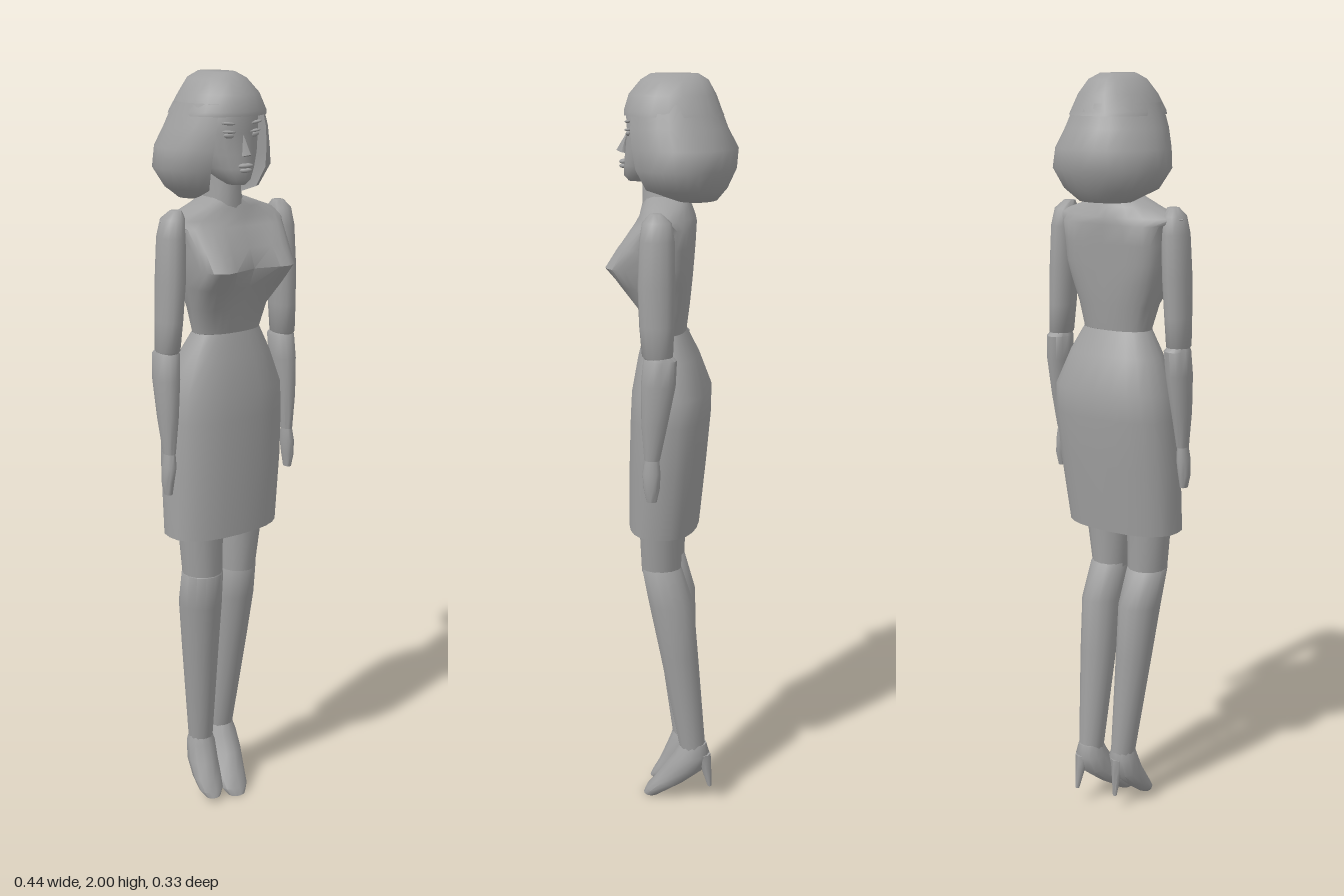
import * as THREE from 'three';
import { toCreasedNormals } from 'three/addons/utils/BufferGeometryUtils.js';

const grey = new THREE.MeshStandardMaterial({ color: 0xa0a0a0, side: THREE.DoubleSide });
grey.name = 'plain grey';

// Skin a stack of horizontal cross-sections, listed from top to bottom.
// Section: [y, xMin, xMax, zBack, zFront, squareness = 2, bulge = 0]
// gap(i) leaves an opening at the front; its edges turn inwards.
function loft(name, rows, { seg = 14, top = true, bottom = true, gap = null, crease = 0.9 } = {}) {
  const pos = [], idx = [], count = seg + 1;
  rows.forEach(([y, x0, x1, zb, zf, n = 2, bulge = 0], i) => {
    const cx = (x0 + x1) / 2, cz = (zb + zf) / 2, rx = (x1 - x0) / 2, rz = (zf - zb) / 2;
    const g = gap ? gap(i) : 0;
    for (let j = 0; j <= seg; j++) {
      const inner = gap && (j === 0 || j === seg);
      const k = gap ? Math.min(Math.max((j - 1) / (seg - 2), 0), 1) : j / seg;
      const a = g + k * (Math.PI * 2 - 2 * g);
      const s = Math.sin(a), c = Math.cos(a);
      let x = rx * Math.sign(s) * Math.abs(s) ** (2 / n);
      let z = rz * Math.sign(c) * Math.abs(c) ** (2 / n);
      if (c > 0.1) z += bulge * Math.max(0, 1 - Math.abs(Math.abs(x) - 0.1) / 0.1);
      if (inner) { x *= 0.85; z -= 0.04; }
      pos.push(cx + x, y, cz + z);
    }
  });
  for (let i = 0; i < rows.length - 1; i++) {
    for (let j = 0; j < seg; j++) {
      const a = i * count + j, b = a + 1, c = a + count, d = c + 1;
      idx.push(a, c, b, b, c, d);
    }
  }
  const cap = (i, up) => {
    const [y, x0, x1, zb, zf] = rows[i], m = pos.length / 3;
    pos.push((x0 + x1) / 2, y, (zb + zf) / 2);
    for (let j = 0; j < seg; j++) {
      const a = i * count + j;
      idx.push(m, up ? a : a + 1, up ? a + 1 : a);
    }
  };
  if (top) cap(0, true);
  if (bottom) cap(rows.length - 1, false);
  const geo = new THREE.BufferGeometry();
  geo.setAttribute('position', new THREE.Float32BufferAttribute(pos, 3));
  geo.setIndex(idx);
  return named(name, toCreasedNormals(geo, crease));
}

function named(name, geo) {
  const mesh = new THREE.Mesh(geo, grey);
  mesh.name = name;
  return mesh;
}

// Small stretched sphere for facial details
function blob(name, x, y, z, sx, sy, sz, tilt = 0) {
  const mesh = named(name, new THREE.SphereGeometry(1, 10, 6));
  mesh.position.set(x, y, z);
  mesh.scale.set(sx, sy, sz);
  mesh.rotation.z = tilt;
  return mesh;
}

function makeHead() {
  const head = new THREE.Group();
  head.name = 'head';
  const cx = -0.02;
  head.add(loft('face', [
    [1.95, cx - 0.06, cx + 0.06, -0.03, 0.11],
    [1.9, cx - 0.077, cx + 0.077, -0.04, 0.123, 2.4],
    [1.86, cx - 0.078, cx + 0.078, -0.04, 0.121, 2.4],
    [1.81, cx - 0.072, cx + 0.072, -0.04, 0.126, 2.3],
    [1.775, cx - 0.058, cx + 0.058, -0.03, 0.13, 2.2],
    [1.748, cx - 0.038, cx + 0.038, 0.03, 0.13],
    [1.735, cx - 0.02, cx + 0.02, 0.06, 0.118],
  ], { seg: 20 }));
  head.add(loft('neck', [
    [1.78, -0.062, 0.026, -0.03, 0.08],
    [1.71, -0.062, 0.028, -0.03, 0.083],
    [1.64, -0.07, 0.05, -0.035, 0.083],
  ]));

  // Nose, mouth, eyes and brows
  const nose = named('nose', new THREE.ConeGeometry(0.015, 0.055, 4));
  nose.position.set(cx, 1.833, 0.127);
  nose.rotation.x = -0.28;
  head.add(nose);
  head.add(blob('upperLip', cx, 1.783, 0.13, 0.023, 0.006, 0.012));
  head.add(blob('lowerLip', cx, 1.772, 0.13, 0.018, 0.006, 0.012));
  for (const s of [-1, 1]) {
    head.add(blob('eye', cx + s * 0.036, 1.855, 0.112, 0.018, 0.007, 0.008, s * 0.12));
    head.add(blob('eyelid', cx + s * 0.037, 1.864, 0.112, 0.021, 0.004, 0.011, s * 0.08));
    head.add(blob('brow', cx + s * 0.038, 1.884, 0.113, 0.024, 0.004, 0.009, s * 0.1));
  }

  // Bobbed hair: crown with fringe, then open-fronted sides
  head.add(loft('hairCrown', [
    [2.0, -0.05, 0.025, -0.06, 0.06],
    [1.985, -0.08, 0.055, -0.085, 0.085],
    [1.95, -0.105, 0.085, -0.105, 0.115],
    [1.91, -0.125, 0.1, -0.12, 0.128, 2.2],
    [1.9, -0.128, 0.103, -0.125, 0.128, 2.2],
  ], { seg: 20, crease: 1.2 }));
  const gaps = [0.66, 0.62, 0.58, 0.56, 0.62, 0.8];
  head.add(loft('hairSides', [
    [1.93, -0.117, 0.092, -0.112, 0.122],
    [1.87, -0.142, 0.116, -0.135, 0.128],
    [1.82, -0.16, 0.135, -0.162, 0.122],
    [1.77, -0.169, 0.146, -0.158, 0.11],
    [1.72, -0.135, 0.115, -0.135, 0.085],
    [1.69, -0.085, 0.06, -0.11, 0.0],
  ], { seg: 24, gap: i => gaps[i], top: false, crease: 1.2 }));
  return head;
}

function makeDress() {
  const dress = new THREE.Group();
  dress.name = 'dress';
  dress.add(loft('bodice', [
    [1.7, -0.065, 0.035, -0.03, 0.07],
    [1.675, -0.125, 0.105, -0.045, 0.083, 1.9],
    [1.648, -0.2, 0.182, -0.055, 0.09, 1.5],
    [1.63, -0.16, 0.155, -0.055, 0.1, 3],
    [1.58, -0.15, 0.148, -0.052, 0.125, 3.5, 0.015],
    [1.53, -0.143, 0.143, -0.048, 0.142, 4, 0.03],
    [1.48, -0.132, 0.132, -0.045, 0.12, 3.2, 0.015],
    [1.42, -0.112, 0.112, -0.04, 0.093, 2.5],
    [1.355, -0.097, 0.097, -0.032, 0.075, 2.3],
  ], { seg: 28, bottom: false }));
  dress.add(loft('skirt', [
    [1.355, -0.098, 0.098, -0.033, 0.076, 2.3],
    [1.29, -0.135, 0.133, -0.065, 0.092, 2.3],
    [1.2, -0.17, 0.168, -0.098, 0.108, 2.4],
    [1.13, -0.178, 0.17, -0.097, 0.112, 2.4],
    [1.0, -0.185, 0.162, -0.085, 0.117, 2.4],
    [0.818, -0.187, 0.142, -0.066, 0.12, 2.4],
  ], { seg: 24, top: false, bottom: false }));
  return dress;
}

function makeArm(s) {
  const arm = new THREE.Group();
  arm.name = s > 0 ? 'leftArm' : 'rightArm';
  // [y, inner, outer, back, front] mirrored to the chosen side
  const side = rows => rows.map(([y, a, b, ...r]) => (s > 0 ? [y, a, b, ...r] : [y, -b, -a, ...r]));
  arm.add(loft('upperArm', side([
    [1.675, 0.145, 0.175, 0.015, 0.045],
    [1.655, 0.138, 0.195, -0.01, 0.063],
    [1.61, 0.137, 0.205, -0.018, 0.07],
    [1.5, 0.141, 0.211, -0.02, 0.074],
    [1.4, 0.149, 0.213, -0.018, 0.07],
    [1.325, 0.155, 0.215, -0.015, 0.063],
    [1.305, 0.17, 0.205, 0.0, 0.045],
  ])));
  arm.add(loft('forearm', side([
    [1.335, 0.165, 0.205, 0.0, 0.045],
    [1.315, 0.153, 0.217, -0.025, 0.06],
    [1.25, 0.157, 0.22, -0.022, 0.066],
    [1.15, 0.166, 0.216, -0.002, 0.065],
    [1.055, 0.177, 0.207, 0.018, 0.058],
  ])));
  arm.add(loft('hand', side([
    [1.06, 0.179, 0.205, 0.02, 0.057],
    [1.02, 0.177, 0.211, 0.016, 0.063],
    [0.98, 0.183, 0.213, 0.018, 0.059],
    [0.945, 0.187, 0.207, 0.026, 0.052],
  ], ), loft('thumb', side([
    [1.04, 0.18, 0.196, 0.045, 0.062],
    [1.005, 0.178, 0.194, 0.057, 0.075],
    [0.97, 0.18, 0.19, 0.06, 0.072],
  ], ), { seg: 8 })));
  return arm;
}

function makeLeg(name, thigh, shin, shoe, heel) {
  const leg = new THREE.Group();
  leg.name = name;
  leg.add(loft('thigh', thigh), loft('lowerLeg', shin), loft('shoe', shoe, { seg: 12 }),
    loft('heel', heel, { seg: 8 }));
  return leg;
}

export function createModel() {
  const model = new THREE.Group();
  model.name = 'standingWoman';
  model.add(makeHead(), makeDress(), makeArm(1), makeArm(-1));
  model.add(makeLeg('rightLeg', [
    [1.0, -0.16, -0.02, -0.04, 0.1],
    [0.82, -0.152, -0.032, -0.025, 0.093],
    [0.69, -0.14, -0.034, -0.02, 0.09],
  ], [
    [0.72, -0.125, -0.05, 0.0, 0.075],
    [0.7, -0.142, -0.032, -0.022, 0.092],
    [0.6, -0.134, -0.022, -0.052, 0.075],
    [0.45, -0.118, -0.02, -0.055, 0.05],
    [0.165, -0.084, -0.018, -0.065, 0.008],
  ], [
    [0.18, -0.08, -0.022, -0.062, 0.005],
    [0.15, -0.09, -0.012, -0.07, 0.015],
    [0.1, -0.096, -0.014, -0.062, 0.035],
    [0.06, -0.102, -0.022, -0.018, 0.052, 2.3],
    [0.03, -0.1, -0.03, 0.015, 0.068, 2.3],
    [0.014, -0.09, -0.045, 0.035, 0.075],
  ], [
    [0.15, -0.07, -0.03, -0.074, -0.03],
    [0.1, -0.062, -0.038, -0.076, -0.045],
    [0.042, -0.056, -0.044, -0.074, -0.064],
  ]));
  model.add(makeLeg('leftLeg', [
    [1.0, -0.01, 0.12, -0.04, 0.1],
    [0.82, -0.022, 0.098, -0.025, 0.09],
    [0.69, -0.018, 0.078, -0.022, 0.085],
  ], [
    [0.73, 0.0, 0.065, 0.0, 0.07],
    [0.7, -0.018, 0.082, -0.025, 0.085],
    [0.6, -0.014, 0.093, -0.058, 0.065],
    [0.45, -0.01, 0.088, -0.07, 0.035],
    [0.165, 0.004, 0.072, -0.092, -0.02],
  ], [
    [0.18, 0.008, 0.07, -0.095, -0.022],
    [0.145, -0.005, 0.08, -0.105, -0.005],
    [0.1, -0.015, 0.078, -0.09, 0.025],
    [0.05, -0.028, 0.062, -0.03, 0.055, 2.3],
    [0.02, -0.03, 0.05, 0.015, 0.078, 2.3],
    [0.0, -0.018, 0.035, 0.04, 0.086],
  ], [
    [0.15, 0.025, 0.068, -0.108, -0.06],
    [0.11, 0.035, 0.062, -0.11, -0.08],
    [0.052, 0.046, 0.058, -0.112, -0.1],
  ]));
  return model;
}
